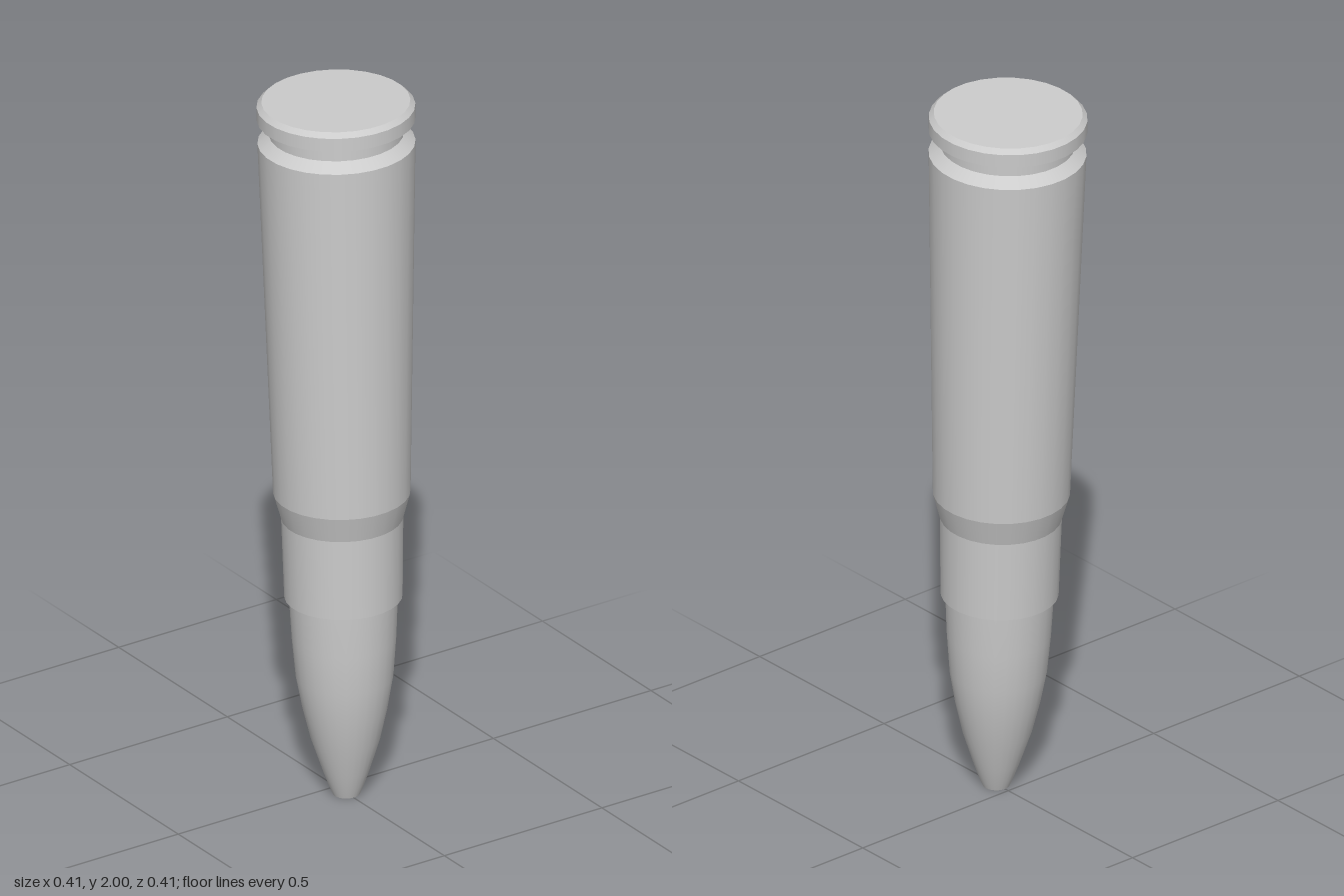
import * as THREE from 'three';
import { mergeGeometries } from 'three/addons/utils/BufferGeometryUtils.js';

const SIDES = 28;
const material = new THREE.MeshStandardMaterial({ color: 0xcccccc });

// Smooth surface of revolution through [radius, y] points, listed upwards
function turned(points) {
  const profile = points.map(([r, y]) => new THREE.Vector2(r, y));
  return new THREE.LatheGeometry(profile, SIDES, Math.PI / SIDES, Math.PI * 2);
}

// Surface of revolution with a sharp edge at every profile point
function turnedSharp(points) {
  return mergeGeometries(points.slice(1).map((p, i) => turned([points[i], p])));
}

function part(name, geometry) {
  const mesh = new THREE.Mesh(geometry, material);
  mesh.name = name;
  return mesh;
}

export function createModel() {
  const model = new THREE.Group();
  model.name = 'cartridge';

  // The whole round leans slightly, tip towards the front
  const round = new THREE.Group();
  round.name = 'round';
  round.position.set(0, 0.001, 0.049);
  round.rotation.x = -0.0245;
  model.add(round);

  // Pointed nose with a small blunt tip
  round.add(part('bullet', mergeGeometries([
    turned([[0, 0], [0.036, 0]]),
    turned([[0.036, 0], [0.048, 0.03], [0.062, 0.07], [0.091, 0.16],
      [0.112, 0.25], [0.128, 0.34], [0.137, 0.45], [0.143, 0.575]]),
  ])));

  // Neck, shoulder and tapered body
  round.add(part('case', turnedSharp([
    [0.143, 0.57], [0.155, 0.57], [0.16, 0.797], [0.18, 0.87], [0.207, 1.878],
  ])));

  // Extractor groove
  round.add(part('groove', turnedSharp([
    [0.207, 1.878], [0.177, 1.903], [0.177, 1.945],
  ])));

  // Rim with bevelled edge and flat base
  round.add(part('rim', turnedSharp([
    [0.177, 1.945], [0.208, 1.945], [0.208, 1.982], [0.195, 1.995], [0, 1.995],
  ])));

  return model;
}
